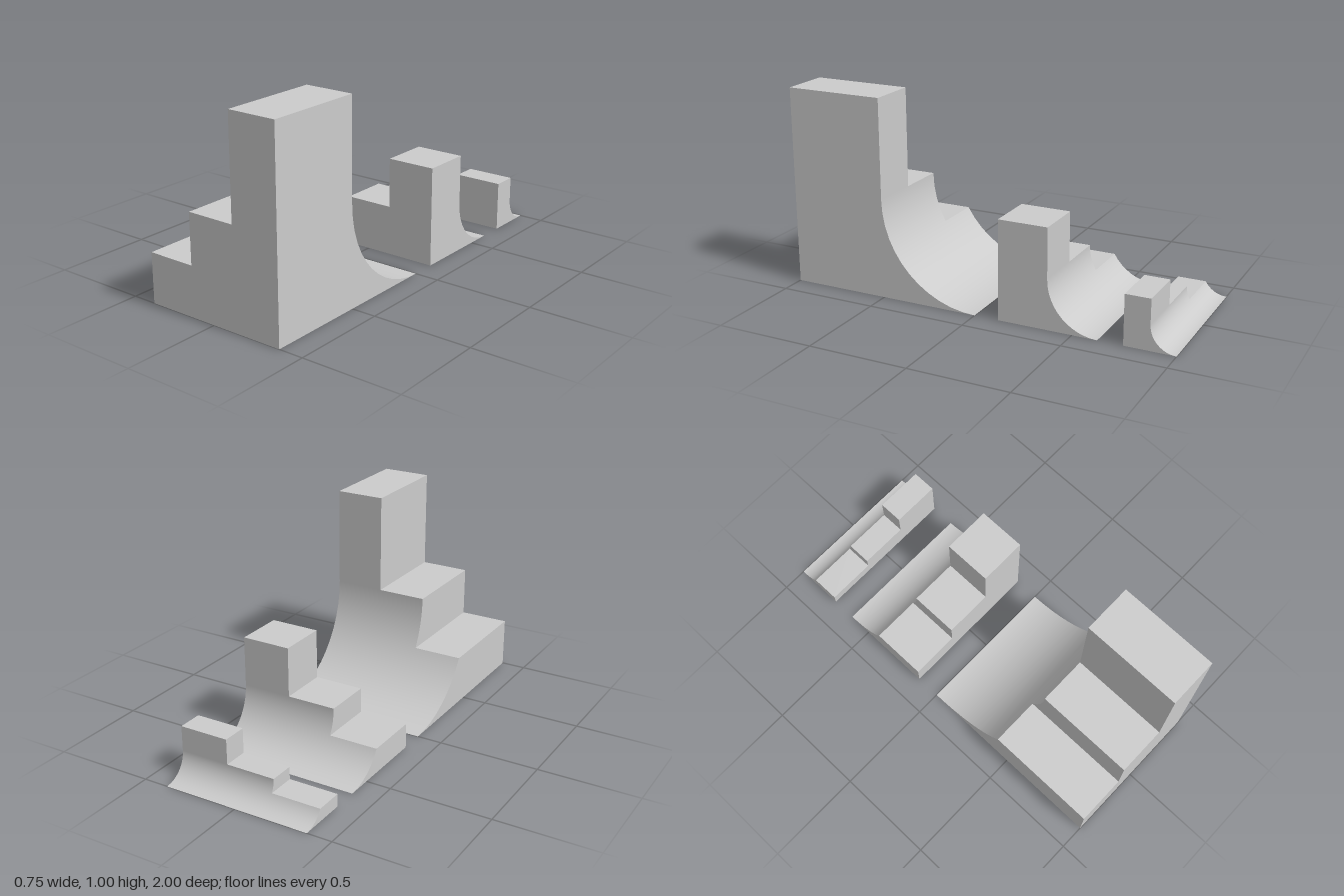
import * as THREE from 'three';
import { mergeVertices } from 'three/addons/utils/BufferGeometryUtils.js';

const COLUMN_X = [-0.375, -0.125, 0.125, 0.375];
const COLUMN_HEIGHT = [0.25, 0.5, 1]; // as a fraction of the block height
const ARC_STEPS = 12;

// One stepped block with a concave quarter-round sweep at the back.
function steppedBlock(size, front) {
  const r = size / 2;
  const back = front - size;
  const pos = [], nor = [], index = [];

  // Levels from the floor up: height, back surface z and its normal.
  const levels = [];
  for (let k = 0; k <= ARC_STEPS; k++) {
    const t = (k / ARC_STEPS) * Math.PI / 2;
    levels.push({ y: r * (1 - Math.cos(t)), z: back + r * Math.sin(t), n: [0, Math.cos(t), -Math.sin(t)] });
  }
  levels.push({ y: size, z: back + r, n: [0, 0, -1] });

  // Corners run counter-clockwise; normals is one per corner.
  const quad = (corners, normals) => {
    const i = pos.length / 3;
    corners.forEach((c, j) => { pos.push(...c); nor.push(...normals[j]); });
    index.push(i, i + 1, i + 2, i, i + 2, i + 3);
  };
  const flat = (corners, n) => quad(corners, [n, n, n, n]);

  COLUMN_HEIGHT.forEach((fraction, c) => {
    const x0 = COLUMN_X[c], x1 = COLUMN_X[c + 1];
    const height = fraction * size;
    const lower = c > 0 ? COLUMN_HEIGHT[c - 1] * size : 0;
    let top = levels[0];

    for (let k = 0; k < levels.length - 1; k++) {
      const a = levels[k], b = levels[k + 1];
      if (b.y > height + 1e-6) break;
      top = b;
      // front and curved back
      flat([[x0, a.y, front], [x1, a.y, front], [x1, b.y, front], [x0, b.y, front]], [0, 0, 1]);
      quad([[x1, a.y, a.z], [x0, a.y, a.z], [x0, b.y, b.z], [x1, b.y, b.z]], [a.n, a.n, b.n, b.n]);
      // riser above the neighbouring lower step
      if (a.y > lower - 1e-6)
        flat([[x0, a.y, a.z], [x0, a.y, front], [x0, b.y, front], [x0, b.y, b.z]], [-1, 0, 0]);
      // full-height outer side
      if (c === COLUMN_HEIGHT.length - 1)
        flat([[x1, a.y, front], [x1, a.y, a.z], [x1, b.y, b.z], [x1, b.y, front]], [1, 0, 0]);
    }

    // tread and underside
    flat([[x0, top.y, front], [x1, top.y, front], [x1, top.y, top.z], [x0, top.y, top.z]], [0, 1, 0]);
    flat([[x0, 0, back], [x1, 0, back], [x1, 0, front], [x0, 0, front]], [0, -1, 0]);
  });

  const geometry = new THREE.BufferGeometry();
  geometry.setAttribute('position', new THREE.Float32BufferAttribute(pos, 3));
  geometry.setAttribute('normal', new THREE.Float32BufferAttribute(nor, 3));
  geometry.setIndex(index);
  return mergeVertices(geometry);
}

export function createModel() {
  const group = new THREE.Group();
  group.name = 'steppedBlocks';
  const material = new THREE.MeshStandardMaterial({ color: 0xcccccc });

  // Three blocks, each half the height and depth of the one before.
  const blocks = [
    ['largeBlock', 1, 1],
    ['mediumBlock', 0.5, -0.125],
    ['smallBlock', 0.25, -0.75],
  ];
  for (const [name, size, front] of blocks) {
    const mesh = new THREE.Mesh(steppedBlock(size, front), material);
    mesh.name = name;
    group.add(mesh);
  }
  return group;
}
